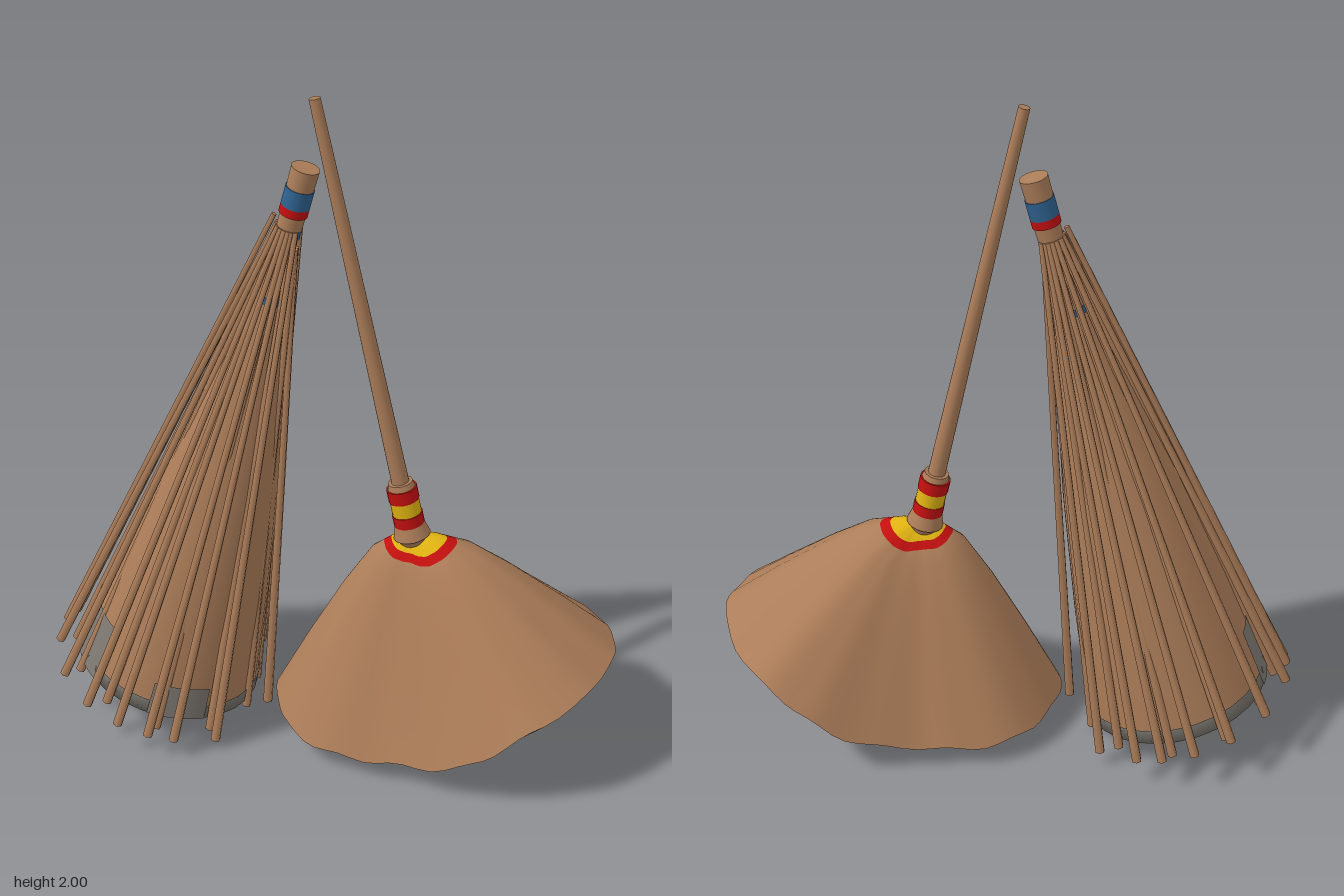
import * as THREE from 'three';

const mat = (name, color) => Object.assign(new THREE.MeshStandardMaterial({ color }), { name });

export function createModel() {
  const model = new THREE.Group();
  const brown = mat('brown', 0xac7d59);
  const red = mat('red', 0xc40f0f);
  const yellow = mat('yellow', 0xe0b312);
  const blue = mat('blue', 0x2f6290);
  const grey = mat('grey', 0x7d7871);
  const greyOpen = mat('greyOpen', 0x7d7871);
  greyOpen.side = THREE.DoubleSide;

  const add = (parent, name, geometry, material) => {
    const mesh = new THREE.Mesh(geometry, material);
    mesh.name = name;
    parent.add(mesh);
    return mesh;
  };
  // Tapered round piece between two heights on the local y axis
  const rod = (parent, name, y0, y1, r0, r1, material, sides = 20) => {
    const g = new THREE.CylinderGeometry(r1, r0, y1 - y0, sides);
    g.translate(0, (y0 + y1) / 2, 0);
    return add(parent, name, g, material);
  };
  const lathe = (pts, start = 0, length = Math.PI * 2) =>
    new THREE.LatheGeometry(pts.map(([r, y]) => new THREE.Vector2(r, y)), 28, start, length);

  // ---- Whisk broom: leaning bundle of straws ----
  const whisk = new THREE.Group();
  whisk.name = 'whiskBroom';
  whisk.position.set(-0.52, 0.12, 0);
  whisk.rotation.z = -0.262;
  model.add(whisk);

  add(whisk, 'bundleCore', lathe([[0.282, 0], [0.235, 0.35], [0.17, 0.75], [0.1, 1.1], [0.05, 1.32], [0.033, 1.45], [0.033, 1.6]]), brown);
  add(whisk, 'bundleUnderside', lathe([[0, 0.07], [0.12, 0.05], [0.24, 0.02]]), brown).material = brown;
  add(whisk, 'bundleRim', lathe([[0.24, 0.02], [0.285, 0], [0.281, 0.045]]), greyOpen);
  add(whisk, 'greyPatch', lathe([[0.286, 0], [0.26, 0.2]], Math.PI * 1.4, Math.PI * 0.42), greyOpen);
  add(whisk, 'smallGreyPatch', lathe([[0.286, 0], [0.274, 0.11]], Math.PI * 0.02, Math.PI * 0.2), greyOpen);
  rod(whisk, 'grip', 1.56, 1.74, 0.036, 0.04, brown);
  rod(whisk, 'gripBlueBand', 1.625, 1.68, 0.041, 0.041, blue);
  rod(whisk, 'gripRedBand', 1.6, 1.625, 0.041, 0.041, red);
  rod(whisk, 'neckBlueBand', 1.53, 1.56, 0.036, 0.036, blue);
  rod(whisk, 'neckRedBand', 1.47, 1.485, 0.036, 0.036, red);
  rod(whisk, 'lowerBlueBand', 1.33, 1.35, 0.052, 0.049, blue);

  // A straw from the grip out to a point on the bottom ring
  const straw = (angle, radius, endY, topY, topR) => {
    const c = Math.cos(angle), s = Math.sin(angle);
    const end = new THREE.Vector3(c * radius, endY, s * radius);
    const top = new THREE.Vector3(c * topR, topY, s * topR);
    const dir = top.clone().sub(end);
    const g = new THREE.CylinderGeometry(0.008, 0.015, dir.length(), 6);
    const mesh = add(whisk, 'straw', g, brown);
    mesh.position.copy(end).add(top).multiplyScalar(0.5);
    mesh.quaternion.setFromUnitVectors(new THREE.Vector3(0, 1, 0), dir.normalize());
  };
  // Outer straws, mirrored front to back, then the two on the axis
  for (const [deg, r] of [[168, 0.345], [141, 0.345], [117, 0.35], [98, 0.35], [82, 0.35], [69, 0.35], [47, 0.35]]) {
    for (const side of [1, -1]) {
      straw(side * deg * Math.PI / 180, r, -0.02 - 0.01 * side, 1.56, 0.036);
    }
  }
  straw(Math.PI, 0.345, 0, 1.58, 0.05);
  straw(0.1, 0.34, 0, 1.5, 0.034);
  // Inner straws pressed against the bundle
  for (let i = 0; i < 11; i++) {
    straw((i + 0.4) * Math.PI * 2 / 11, 0.288 + 0.012 * (i % 2), -0.02 - 0.012 * (i % 3), 1.5, 0.034);
  }

  // ---- Long broom: handle and banded socket ----
  const broom = new THREE.Group();
  broom.name = 'longBroomHandle';
  broom.position.set(0.255, 0.64, 0);
  broom.rotation.z = 0.217;
  model.add(broom);
  rod(broom, 'handle', 0.2, 1.39, 0.026, 0.016, brown);
  rod(broom, 'socketTip', -0.01, 0.05, 0.022, 0.05, brown);
  rod(broom, 'socketCup', 0.05, 0.09, 0.055, 0.044, brown);
  rod(broom, 'lowerRedBand', 0.09, 0.125, 0.045, 0.045, red);
  rod(broom, 'yellowBand', 0.125, 0.17, 0.043, 0.043, yellow);
  rod(broom, 'upperRedBand', 0.17, 0.21, 0.045, 0.045, red);
  rod(broom, 'socketLip', 0.21, 0.228, 0.04, 0.036, brown);

  // ---- Broom head: two shells sharing a curved rim ----
  const half = [[-0.14, 0.088, 0.1], [-0.09, 0.08, 0.19], [0.01, 0.07, 0.265], [0.13, 0.065, 0.29],
    [0.25, 0.075, 0.302], [0.38, 0.1, 0.33], [0.5, 0.16, 0.355], [0.6, 0.24, 0.352],
    [0.7, 0.31, 0.315], [0.8, 0.345, 0.2], [0.845, 0.365, 0.08]];
  const mirrored = half.map(([x, y, z]) => [x, y, -z]).reverse();
  const rimCurve = new THREE.CatmullRomCurve3(
    [[-0.17, 0.09, 0], ...half, [0.86, 0.372, 0], ...mirrored].map((p) => new THREE.Vector3(...p)), true);
  const N = 72;
  const rim = Array.from({ length: N }, (_, j) => {
    const p = rimCurve.getPoint(j / N);
    p.y += 0.007 * Math.sin(j * 1.3) * Math.min(1, Math.abs(p.z) * 6);
    return p;
  });

  // Sweep rows from a centre point out to the rim; drop(h, p) is 0 at the centre, 1 at the rim
  const shell = (centre, rows, drop, flip, materialOf) => {
    const pos = [], index = [];
    const geometry = new THREE.BufferGeometry();
    rows.forEach((h) => rim.forEach((p) => pos.push(
      centre.x + (p.x - centre.x) * h,
      centre.y + (p.y - centre.y) * drop(h, p),
      p.z * h)));
    for (let i = 0; i < rows.length - 1; i++) {
      geometry.addGroup(index.length, N * 6, materialOf(rows[i]));
      for (let j = 0; j < N; j++) {
        const k = (j + 1) % N;
        const a = i * N + j, b = a + N, c = (i + 1) * N + k, d = i * N + k;
        index.push(...(flip ? [a, c, b, a, d, c] : [a, b, c, a, c, d]));
      }
    }
    geometry.setAttribute('position', new THREE.Float32BufferAttribute(pos, 3));
    geometry.setIndex(index);
    geometry.computeVertexNormals();
    return geometry;
  };

  // Upper dome profile, steeper towards the front and back
  const profile = [[0, 0], [0.12, 0.02], [0.3, 0.12], [0.5, 0.34], [0.75, 0.66], [1, 1]];
  const dome = (h, p) => {
    const i = Math.min(profile.findIndex((q) => q[0] >= h - 1e-6) || 1, 5);
    const [h0, d0] = profile[i - 1], [h1, d1] = profile[i];
    const side = (p.z / 0.36) ** 2;
    return d0 + (d1 - d0) * (h - h0) / (h1 - h0) + 0.35 * h * (1 - h) * side;
  };
  const domeRows = [0, 0.06, 0.12, 0.16, 0.21, 0.3, 0.4, 0.5, 0.62, 0.75, 0.88, 1];
  add(model, 'broomHeadTop',
    shell(new THREE.Vector3(0.25, 0.7, 0), domeRows, dome, false, (h) => (h < 0.15 ? 0 : h < 0.2 ? 1 : 2)),
    [yellow, red, brown]);
  const baseRows = [0, 0.12, 0.25, 0.4, 0.55, 0.7, 0.85, 1];
  add(model, 'broomHeadBase',
    shell(new THREE.Vector3(0.28, 0, 0), baseRows, (h) => h * h, true, () => 0),
    [brown]);

  return model;
}
